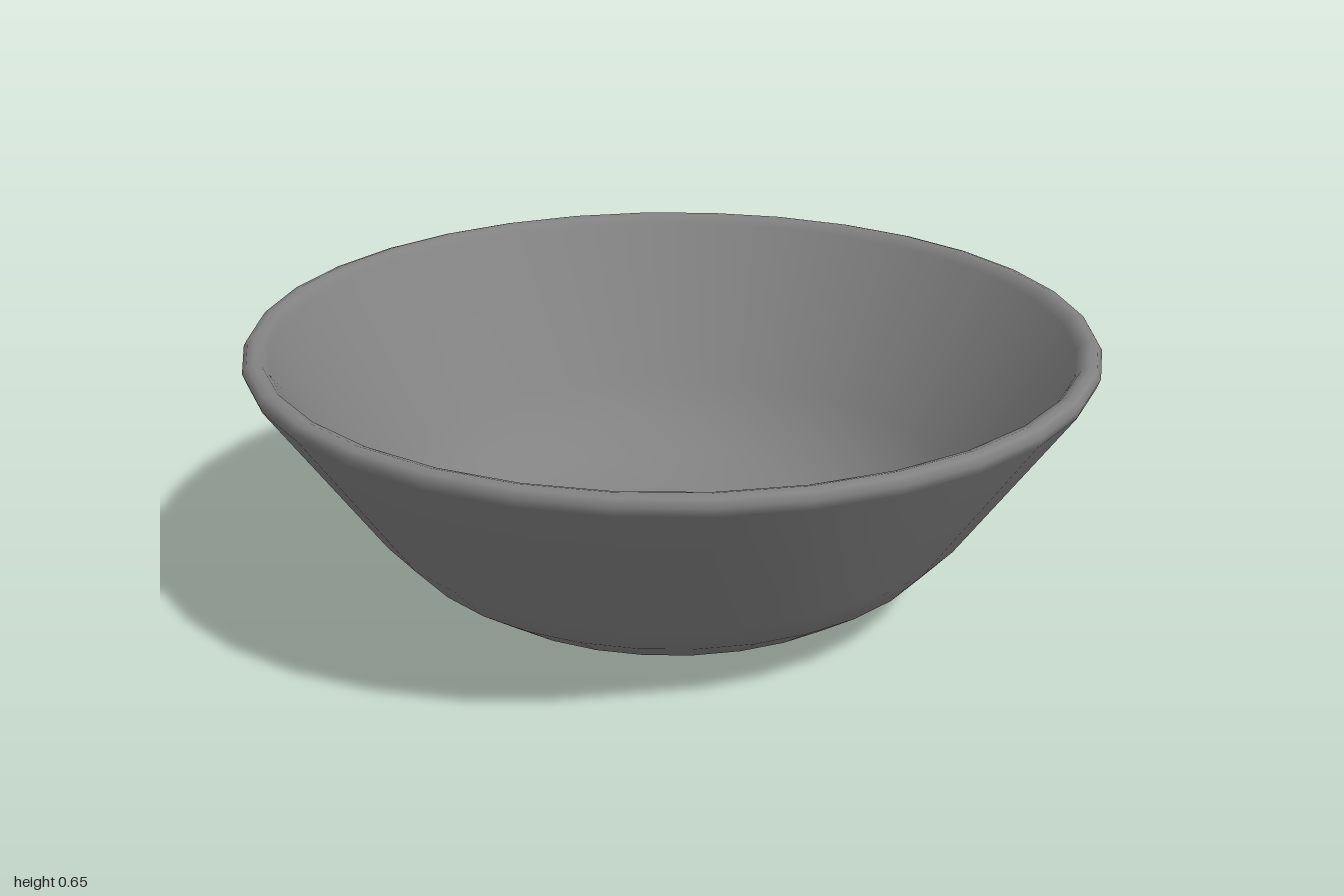
import * as THREE from 'three';

export function createModel() {
  const group = new THREE.Group();
  group.name = 'bowl';
  const material = new THREE.MeshStandardMaterial({ color: 0x828282 });

  // Closed wall section: outside from the base up, over the rim, then down the inside
  const outside = [[0, 0], [0.31, 0.002], [0.43, 0.02], [0.55, 0.07], [0.65, 0.14], [0.73, 0.23]];
  const rim = [[0.992, 0.61], [1, 0.632], [0.99, 0.648], [0.973, 0.653], [0.955, 0.647], [0.942, 0.63]];
  const inside = [[0.692, 0.255], [0.617, 0.17], [0.53, 0.105], [0.42, 0.06], [0.3, 0.043], [0, 0.04]];
  const profile = [...outside, ...rim, ...inside].map(([r, y]) => new THREE.Vector2(r, y));

  const bowl = new THREE.Mesh(new THREE.LatheGeometry(profile, 32), material);
  bowl.name = 'bowlBody';
  group.add(bowl);
  return group;
}
